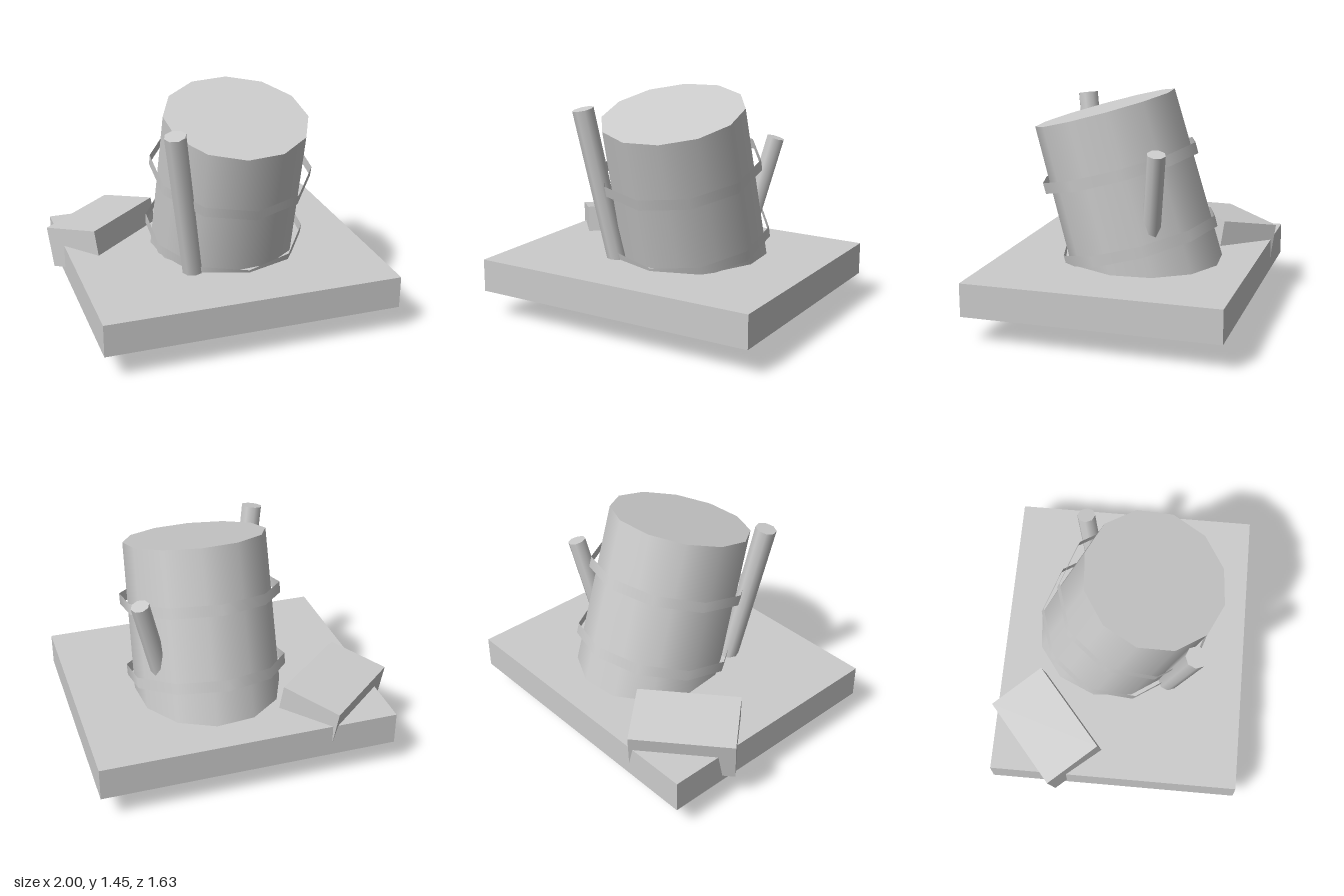
import * as THREE from 'three';

export function createModel() {
  const model = new THREE.Group();
  model.name = 'leaningBarrelOnSlab';

  const grey = new THREE.MeshStandardMaterial({ color: 0xcccccc });
  grey.name = 'stone grey';
  const bandGrey = new THREE.MeshStandardMaterial({ color: 0xcccccc, side: THREE.DoubleSide });
  bandGrey.name = 'band grey';

  const add = (parent, name, geometry, material = grey) => {
    const mesh = new THREE.Mesh(geometry, material);
    mesh.name = name;
    parent.add(mesh);
    return mesh;
  };

  // Square slab
  add(model, 'slab', new THREE.BoxGeometry(1.905, 0.21, 1.605)).position.set(0.043, 0.285, 0.012);

  // Barrel leaning forward through the slab; group origin is the bottom centre
  const barrel = new THREE.Group();
  barrel.name = 'barrel';
  barrel.position.set(0.118, 0.141, -0.152);
  barrel.rotation.x = 0.275;
  model.add(barrel);

  const height = 1.245;
  const body = add(barrel, 'barrelBody', new THREE.CylinderGeometry(0.457, 0.482, height, 12));
  body.position.y = height / 2;
  body.rotation.y = -0.175;

  // Thin open hoops around the barrel
  for (const [name, y] of [['lowerBand', 0.389], ['upperBand', 0.867]]) {
    add(barrel, name, new THREE.CylinderGeometry(0.517, 0.517, 0.07, 10, 1, true), bandGrey).position.y = y;
  }

  // Slanted poles, each from its bottom point to its top point
  const addPole = (name, bottom, top, rBottom, rTop) => {
    const a = new THREE.Vector3(...bottom);
    const b = new THREE.Vector3(...top);
    const dir = b.clone().sub(a);
    const pole = add(model, name, new THREE.CylinderGeometry(rTop, rBottom, dir.length(), 8));
    pole.position.copy(a).add(b).multiplyScalar(0.5);
    pole.quaternion.setFromUnitVectors(new THREE.Vector3(0, 1, 0), dir.normalize());
  };
  addPole('frontPole', [-0.207, 0.33, 0.315], [-0.36, 1.36, 0.465], 0.063, 0.068);
  addPole('backPole', [0.41, 0.4, -0.19], [0.595, 1.155, -0.287], 0.058, 0.058);

  // Tilted block sunk into the back corner of the slab
  const block = add(model, 'cornerBlock', new THREE.BoxGeometry(0.649, 0.275, 0.4));
  block.position.set(-0.61, 0.387, -0.442);
  block.rotation.set(-0.17, 0.704, 0, 'YXZ');

  return model;
}
